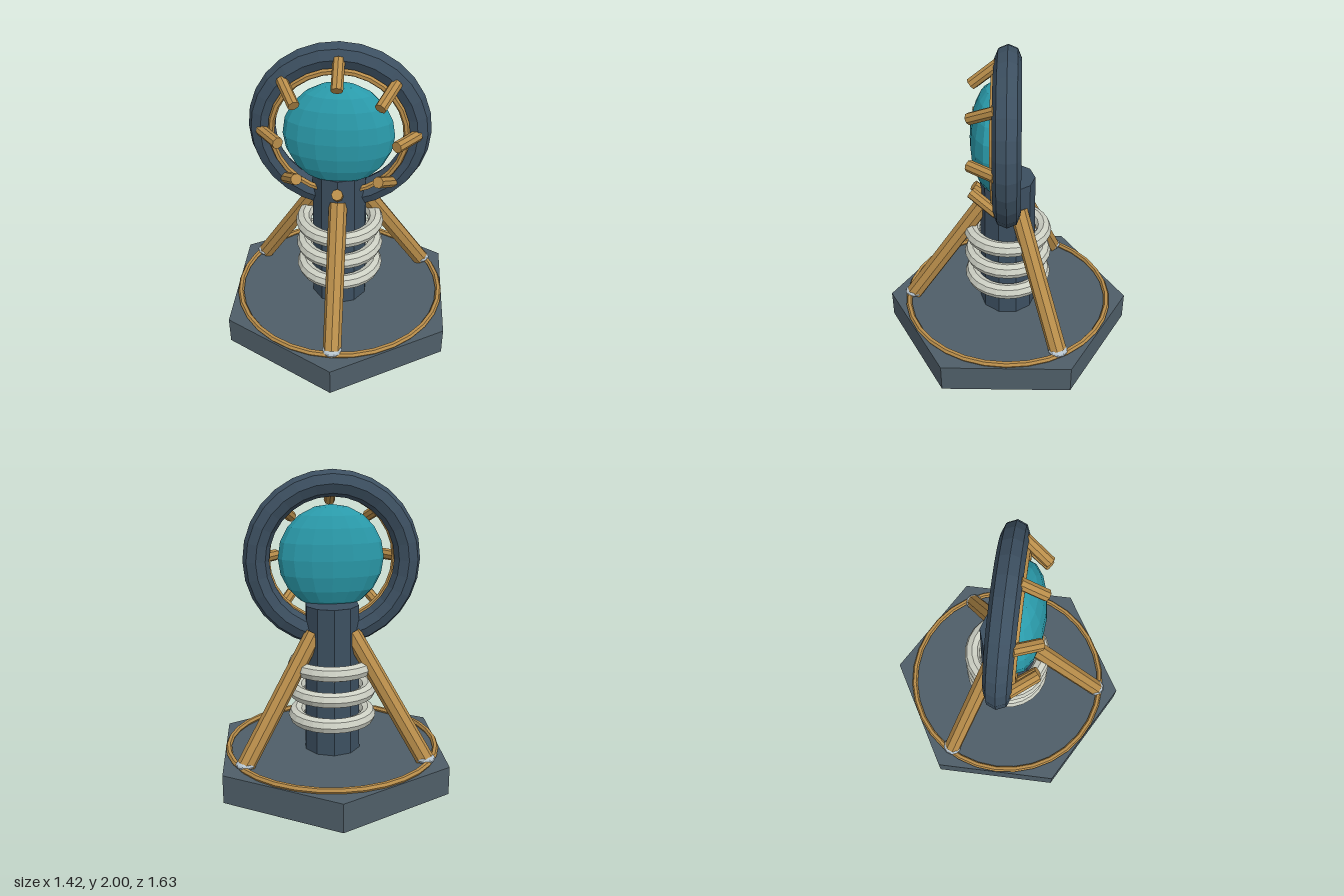
import * as THREE from 'three';

const mat = (color) => new THREE.MeshStandardMaterial({ color, flatShading: true });

export function createModel() {
  const model = new THREE.Group();
  const stone = mat(0x4f5e68), navy = mat(0x3c4f60), brass = mat(0xb88d4a);
  const ivory = mat(0xcdd0c4), teal = mat(0x2a9aaa), steel = mat(0xb4c2cc);

  const add = (name, geometry, material, x = 0, y = 0, z = 0) => {
    const mesh = new THREE.Mesh(geometry, material);
    mesh.name = name;
    mesh.position.set(x, y, z);
    model.add(mesh);
    return mesh;
  };

  // Straight rod running between two points
  const rod = (name, from, to, radius, sides) => {
    const dir = to.clone().sub(from);
    const mesh = add(name, new THREE.CylinderGeometry(radius, radius, dir.length(), sides), brass);
    mesh.position.copy(from).add(to).multiplyScalar(0.5);
    mesh.quaternion.setFromUnitVectors(new THREE.Vector3(0, 1, 0), dir.normalize());
    return mesh;
  };

  // Ring lying flat
  const flatRing = (name, radius, tube, sides, segments, material, y) => {
    add(name, new THREE.TorusGeometry(radius, tube, sides, segments).rotateX(-Math.PI / 2), material, 0, y, 0);
  };

  // Hexagonal base with inlaid ring
  add('base', new THREE.CylinderGeometry(0.817, 0.817, 0.185, 6), stone, 0, 0.0925, 0);
  flatRing('baseRing', 0.688, 0.02, 6, 32, brass, 0.2);

  // Central column and its coils
  add('column', new THREE.CylinderGeometry(0.175, 0.187, 0.975, 10), navy, 0, 0.6675, 0);
  [0.415, 0.587, 0.76].forEach((y) => flatRing('coil', 0.238, 0.05, 8, 24, ivory, y));

  // Three leaning struts with feet
  for (let i = 0; i < 3; i++) {
    const a = (i * Math.PI * 2) / 3;
    const at = (r, y) => new THREE.Vector3(Math.sin(a) * r, y, Math.cos(a) * r);
    rod('strut', at(0.652, 0.21), at(0.14, 0.98), 0.058, 8);
    const foot = at(0.655, 0.215);
    add('foot', new THREE.SphereGeometry(0.063, 10, 8), steel, foot.x, foot.y, foot.z).scale.y = 0.5;
  }

  // Upright head ring, inner trim and lens
  const cy = 1.44;
  add('headRing', new THREE.TorusGeometry(0.477, 0.083, 8, 28), navy, 0, cy, 0);
  add('innerRing', new THREE.TorusGeometry(0.41, 0.02, 6, 28), brass, 0, cy, 0.08);
  add('lens', new THREE.SphereGeometry(0.34, 16, 10), teal, 0, cy, 0.08).scale.z = 0.45;

  // Eight prongs leaning inward and forward
  for (let i = 0; i < 8; i++) {
    const a = (i * Math.PI) / 4;
    const at = (r, z) => new THREE.Vector3(Math.cos(a) * r, cy + Math.sin(a) * r, z);
    rod('prong', at(0.475, 0.06), at(0.35, 0.217), 0.036, 8);
  }

  return model;
}
